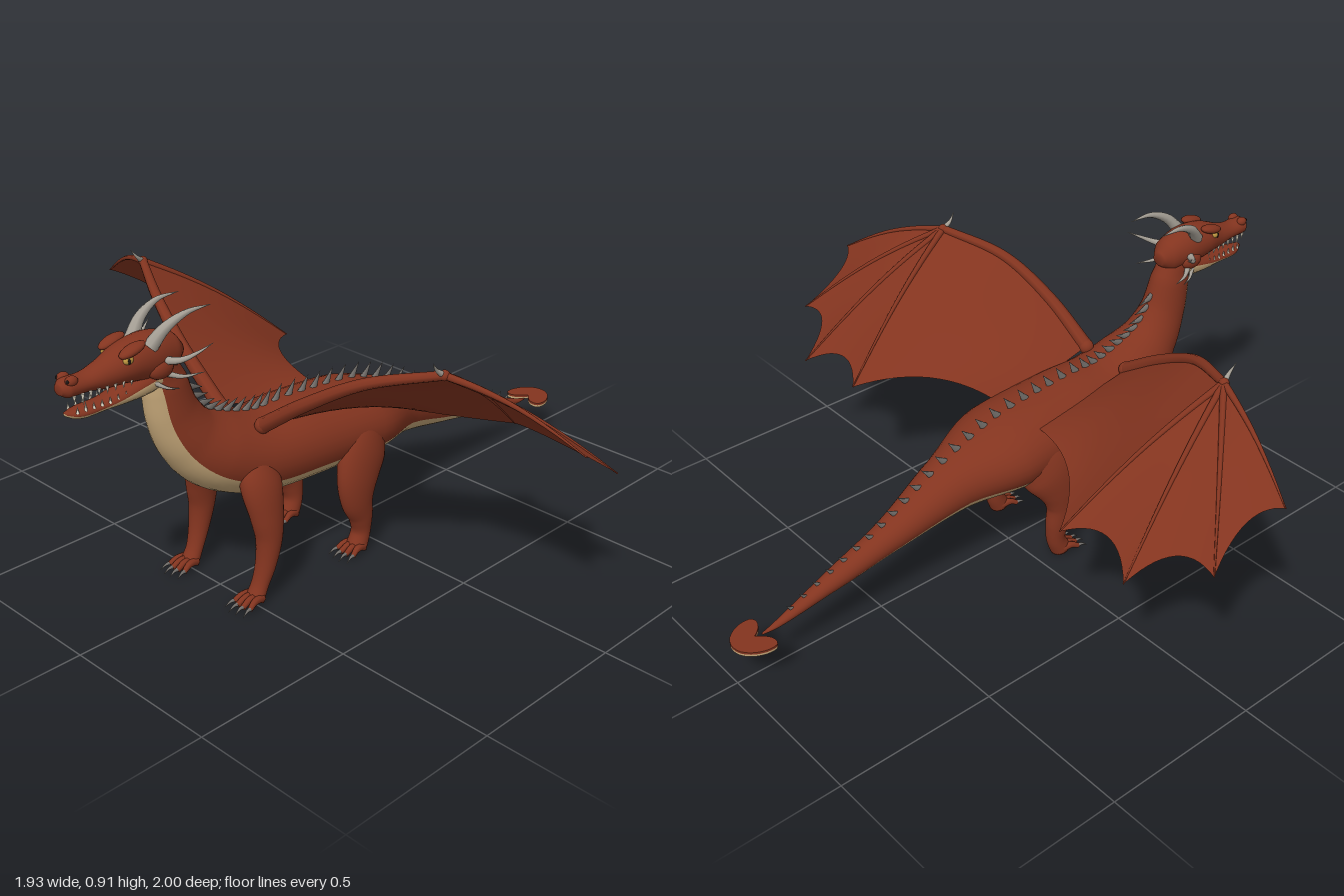
import * as THREE from 'three';

const V = (x, y, z) => new THREE.Vector3(x, y, z);
const mat = (name, color, side = THREE.FrontSide) => {
  const m = new THREE.MeshStandardMaterial({ color, side });
  m.name = name;
  return m;
};

export function createModel() {
  const red = mat('red scales', 0x83341f, THREE.DoubleSide);
  const tan = mat('tan belly', 0xc4a678);
  const horn = mat('grey horn', 0xa59f95);
  const spikeGrey = mat('dark spike', 0x74706c);
  const ivory = mat('ivory teeth', 0xe6dfcc);
  const amber = mat('amber eye', 0xbd953f);
  const black = mat('black', 0x1c1614);

  const model = new THREE.Group();
  model.name = 'dragon';
  const add = (name, geo, material, parent = model) => {
    const m = new THREE.Mesh(geo, material);
    m.name = name;
    parent.add(m);
    return m;
  };
  const group = (name) => {
    const g = new THREE.Group();
    g.name = name;
    model.add(g);
    return g;
  };

  // Smooth skin over elliptical sections [x, y, z, halfWidth, halfHeight, bellyAngle]
  function frames(sections) {
    const pos = new THREE.CatmullRomCurve3(sections.map((s) => V(s[0], s[1], s[2])));
    const size = new THREE.CatmullRomCurve3(sections.map((s) => V(s[3], s[4], s[5] ?? 1)));
    const at = (t) => {
      const dir = pos.getTangent(t);
      const up = dir.clone().cross(V(1, 0, 0)).normalize();
      return { p: pos.getPoint(t), dir, up, size: size.getPoint(t) };
    };
    return { pos, at };
  }
  function loft(sections, steps = 6) {
    const { at } = frames(sections);
    const n = (sections.length - 1) * steps, belly = 10, ring = 30;
    const verts = [], under = [], over = [];
    for (let i = 0; i <= n; i++) {
      const { p, up, size } = at(i / n);
      for (let j = 0; j < ring; j++) {
        const b = size.z;
        const a = j <= belly ? -b + (2 * b * j) / belly
          : b + ((2 * Math.PI - 2 * b) * (j - belly)) / (ring - belly);
        const v = p.clone().addScaledVector(up, -Math.cos(a) * size.y);
        verts.push(v.x + Math.sin(a) * size.x, v.y, v.z);
      }
    }
    const first = at(0).p, last = at(1).p, pole = verts.length / 3;
    verts.push(first.x, first.y, first.z, last.x, last.y, last.z);
    for (let j = 0; j < ring; j++) {
      const k = (j + 1) % ring, list = j < belly ? under : over;
      for (let i = 0; i < n; i++) {
        const a = i * ring + j, b = i * ring + k;
        list.push(a, b, b + ring, a, b + ring, a + ring);
      }
      list.push(pole, k, j, pole + 1, n * ring + j, n * ring + k);
    }
    const g = new THREE.BufferGeometry();
    g.setAttribute('position', new THREE.Float32BufferAttribute(verts, 3));
    g.setIndex([...under, ...over]);
    g.addGroup(0, under.length, 0);
    g.addGroup(under.length, over.length, 1);
    g.computeVertexNormals();
    return g;
  }

  // Tube narrowing from r0 to r1 along its points
  function taper(points, r0, r1 = 0.0005, seg = 12) {
    const curve = new THREE.CatmullRomCurve3(points);
    const g = new THREE.TubeGeometry(curve, seg, 1, 8);
    const pos = g.attributes.position, v = V(0, 0, 0);
    for (let i = 0; i < pos.count; i++) {
      const u = Math.floor(i / 9) / seg, c = curve.getPointAt(u);
      v.fromBufferAttribute(pos, i).sub(c).multiplyScalar(r0 + (r1 - r0) * u).add(c);
      pos.setXYZ(i, v.x, v.y, v.z);
    }
    return g;
  }
  const ball = (name, p, sx, sy, sz, material) => {
    const m = add(name, new THREE.SphereGeometry(1, 16, 12), material);
    m.position.copy(p);
    m.scale.set(sx, sy, sz);
    return m;
  };
  const cone = (name, p, dir, r, h, material, parent) => {
    const m = add(name, new THREE.ConeGeometry(r, h, 8).translate(0, h / 2, 0), material, parent);
    m.position.copy(p);
    m.quaternion.setFromUnitVectors(V(0, 1, 0), dir.clone().normalize());
    return m;
  };

  // Tail, trunk and neck in one skin
  const spine = [
    [0, 0.127, -0.905, 0.003, 0.003, 1.1], [0, 0.133, -0.86, 0.011, 0.009, 1.1],
    [0, 0.178, -0.7, 0.028, 0.025, 1.1], [0, 0.25, -0.45, 0.054, 0.05, 1.2],
    [0, 0.328, -0.23, 0.097, 0.086, 1.25], [0, 0.37, -0.02, 0.165, 0.12, 1.15],
    [0, 0.385, 0.2, 0.157, 0.128, 1.15], [0, 0.397, 0.38, 0.142, 0.122, 1.1],
    [0, 0.45, 0.515, 0.118, 0.112, 1.05], [0, 0.517, 0.595, 0.085, 0.092, 1.0],
    [0, 0.6, 0.643, 0.064, 0.079, 1.0], [0, 0.7, 0.668, 0.054, 0.068, 1],
    [0, 0.77, 0.69, 0.048, 0.05, 0.9],
  ];
  add('body', loft(spine), [tan, red]);

  // Row of spikes along the spine, shrinking to the tail
  const spikes = group('backSpikes');
  const back = frames(spine);
  for (let i = 0; i < 33; i++) {
    const u = 0.06 + (i / 32) * 0.87;
    const { p, dir, up, size } = back.at(back.pos.getUtoTmapping(u));
    const k = 0.45 + 0.55 * Math.min(1, u * 2.2);
    const base = p.clone().addScaledVector(up, size.y - 0.006);
    const s = cone('spike', base, up.clone().multiplyScalar(0.8).addScaledVector(dir, -0.45), 0.014 * k, 0.058 * k, spikeGrey, spikes);
    s.scale.x = 0.6;
  }

  // Flat spade at the tail tip, red above and tan below
  const spade = new THREE.Shape();
  spade.moveTo(0, 0.93);
  spade.quadraticCurveTo(0.03, 0.885, 0.06, 0.893);
  spade.bezierCurveTo(0.09, 0.9, 0.065, 1, 0, 1);
  spade.bezierCurveTo(-0.065, 1, -0.09, 0.9, -0.06, 0.893);
  spade.quadraticCurveTo(-0.03, 0.885, 0, 0.93);
  const plate = (y) => new THREE.ExtrudeGeometry(spade, { depth: 0.007, bevelEnabled: false, curveSegments: 12 })
    .rotateX(-Math.PI / 2).translate(0, y, 0);
  add('tailSpadeTop', plate(0.126), red);
  add('tailSpadeUnderside', plate(0.119), tan);

  // Skull with snout, and open lower jaw
  add('skull', loft([
    [0, 0.78, 0.61, 0.02, 0.02], [0, 0.785, 0.645, 0.048, 0.052], [0, 0.795, 0.72, 0.06, 0.065],
    [0, 0.796, 0.79, 0.058, 0.056], [0, 0.785, 0.86, 0.042, 0.04], [0, 0.782, 0.93, 0.033, 0.026],
    [0, 0.784, 0.975, 0.033, 0.027], [0, 0.783, 0.998, 0.016, 0.014],
  ]), [red, red]);
  add('lowerJaw', loft([
    [0, 0.74, 0.67, 0.045, 0.04, 1.7], [0, 0.72, 0.76, 0.044, 0.032, 1.8], [0, 0.706, 0.87, 0.031, 0.017, 1.5],
    [0, 0.706, 0.955, 0.024, 0.014, 1.4], [0, 0.712, 0.982, 0.009, 0.006, 1.4],
  ]), [tan, red]);

  for (const s of [1, -1]) {
    const side = s > 0 ? 'left' : 'right';

    // Eyes, brows, nostrils and teeth
    ball(side + 'Eye', V(s * 0.047, 0.82, 0.812), 0.01, 0.011, 0.015, amber);
    ball(side + 'Pupil', V(s * 0.0555, 0.82, 0.815), 0.003, 0.008, 0.004, black);
    ball(side + 'Brow', V(s * 0.043, 0.843, 0.795), 0.021, 0.014, 0.042, red).rotation.x = 0.25;
    ball(side + 'Cheek', V(s * 0.046, 0.765, 0.71), 0.022, 0.028, 0.04, red);
    ball(side + 'NostrilBump', V(s * 0.018, 0.804, 0.968), 0.014, 0.014, 0.018, red);
    ball(side + 'Nostril', V(s * 0.022, 0.807, 0.983), 0.005, 0.005, 0.004, black);
    for (let i = 0; i < 8; i++) {
      const z = 0.8 + i * 0.024, k = i === 6 ? 1.5 : 1;
      cone('upperTooth', V(s * (0.039 - i * 0.002), 0.765, z), V(0, -1, 0), 0.005, 0.022 * k, ivory);
      cone('lowerTooth', V(s * (0.034 - i * 0.002), 0.712, z - 0.01), V(0, 1, 0), 0.0045, 0.02 * k, ivory);
    }

    // Crown horns, side horns and cheek spikes
    add(side + 'CrownHorn', taper([V(s * 0.038, 0.83, 0.735), V(s * 0.052, 0.875, 0.695), V(s * 0.063, 0.904, 0.63), V(s * 0.066, 0.905, 0.55)], 0.021), horn);
    add(side + 'SideHorn', taper([V(s * 0.045, 0.785, 0.7), V(s * 0.085, 0.79, 0.675), V(s * 0.112, 0.808, 0.64), V(s * 0.13, 0.83, 0.6)], 0.013), horn);
    add(side + 'CheekSpike', taper([V(s * 0.045, 0.75, 0.7), V(s * 0.07, 0.735, 0.66), V(s * 0.09, 0.735, 0.6)], 0.01), horn);
    add(side + 'JawSpike', taper([V(s * 0.035, 0.73, 0.73), V(s * 0.055, 0.71, 0.7), V(s * 0.065, 0.7, 0.665)], 0.008), horn);

    // Legs with clawed toes
    const legs = {
      FrontLeg: [[0.08, 0.44, 0.42, 0.035, 0.05], [0.115, 0.36, 0.437, 0.047, 0.068], [0.138, 0.26, 0.437, 0.042, 0.053],
        [0.145, 0.19, 0.437, 0.038, 0.04], [0.146, 0.11, 0.453, 0.032, 0.029], [0.143, 0.05, 0.475, 0.028, 0.023], [0.143, 0.012, 0.495, 0.031, 0.025]],
      HindLeg: [[0.09, 0.42, -0.04, 0.04, 0.06], [0.13, 0.335, 0.04, 0.052, 0.095], [0.148, 0.255, 0.08, 0.044, 0.08],
        [0.152, 0.185, 0.087, 0.038, 0.06], [0.15, 0.115, 0.069, 0.033, 0.04], [0.147, 0.06, 0.066, 0.03, 0.03], [0.147, 0.012, 0.085, 0.033, 0.032]],
    };
    for (const [name, rows] of Object.entries(legs)) {
      add(side + name, loft(rows.map((r) => [s * r[0], ...r.slice(1)])), [red, red]);
      const foot = rows[rows.length - 1];
      for (let i = -1.5; i <= 1.5; i++) {
        const x = s * foot[0] + i * 0.014, z = foot[2], d = i * 0.004;
        const reach = 0.06 - Math.abs(i) * 0.008;
        add('toe', taper([V(x, 0.022, z - 0.01), V(x + d, 0.024, z + reach / 2), V(x + 2 * d, 0.012, z + reach)], 0.013, 0.008, 8), red);
        add('claw', taper([V(x + 2 * d, 0.014, z + reach - 0.006), V(x + 2.4 * d, 0.014, z + reach + 0.012), V(x + 3 * d, 0.002, z + reach + 0.032)], 0.007, 0.0005, 6), spikeGrey);
      }
    }

    // Wing: arm, finger bones and scalloped membrane
    const wing = group(side + 'Wing');
    const P = (x, y, z) => V(s * x, y, z);
    const wrist = P(0.61, 0.775, 0.245);
    const tips = [P(0.965, 0.62, 0.11), P(0.925, 0.48, -0.1), P(0.735, 0.41, -0.235), P(0.48, 0.43, -0.23)];
    const armPts = [wrist, P(0.42, 0.72, 0.34), P(0.25, 0.622, 0.385), P(0.09, 0.51, 0.4)];
    const arm = new THREE.CatmullRomCurve3(armPts);
    const arch = (a, b, t, rise = 0.025) => {
      const p = a.clone().lerp(b, t);
      p.y += rise * Math.sin(Math.PI * t);
      return p;
    };
    const patch = (front, rear, rise) => {
      const n = 14, verts = [], idx = [];
      for (let i = 0; i <= n; i++) for (let j = 0; j <= n; j++) {
        verts.push(...arch(front(i / n), rear(i / n), j / n, rise(i / n)).toArray());
        if (i < n && j < n) {
          const a = i * (n + 1) + j, b = a + n + 1;
          const q = [a, a + 1, b + 1, a, b + 1, b];
          idx.push(...(s > 0 ? q.reverse() : q));
        }
      }
      const g = new THREE.BufferGeometry();
      g.setAttribute('position', new THREE.Float32BufferAttribute(verts, 3));
      g.setIndex(idx);
      g.computeVertexNormals();
      add('membrane', g, red, wing);
    };
    for (let i = 0; i < 3; i++) {
      const mid = tips[i].clone().lerp(tips[i + 1], 0.5).lerp(wrist, 0.24);
      const edge = new THREE.QuadraticBezierCurve3(tips[i], mid, tips[i + 1]);
      patch(() => wrist, (t) => edge.getPoint(t), () => 0.025);
    }
    // Inner membrane sags onto the flank at its root
    const trail = new THREE.QuadraticBezierCurve3(tips[3], P(0.35, 0.495, 0), P(0.075, 0.46, 0.03));
    patch((t) => arm.getPoint(t), (t) => trail.getPoint(t), (t) => 0.025 - 0.035 * t);
    tips.forEach((tip) => add('fingerBone', taper([0, 0.25, 0.5, 0.75, 1].map((t) => arch(wrist, tip, t)), 0.011, 0.002, 16), red, wing));
    add('wingArm', taper([...armPts].reverse(), 0.023, 0.013, 24), red, wing);
    ball(side + 'WingShoulder', armPts[3], 0.024, 0.024, 0.024, red);
    ball(side + 'WingWrist', wrist, 0.015, 0.015, 0.015, red);
    add('wingClaw', taper([wrist, P(0.605, 0.795, 0.27), P(0.61, 0.822, 0.29)], 0.01), horn, wing);
  }
  return model;
}
